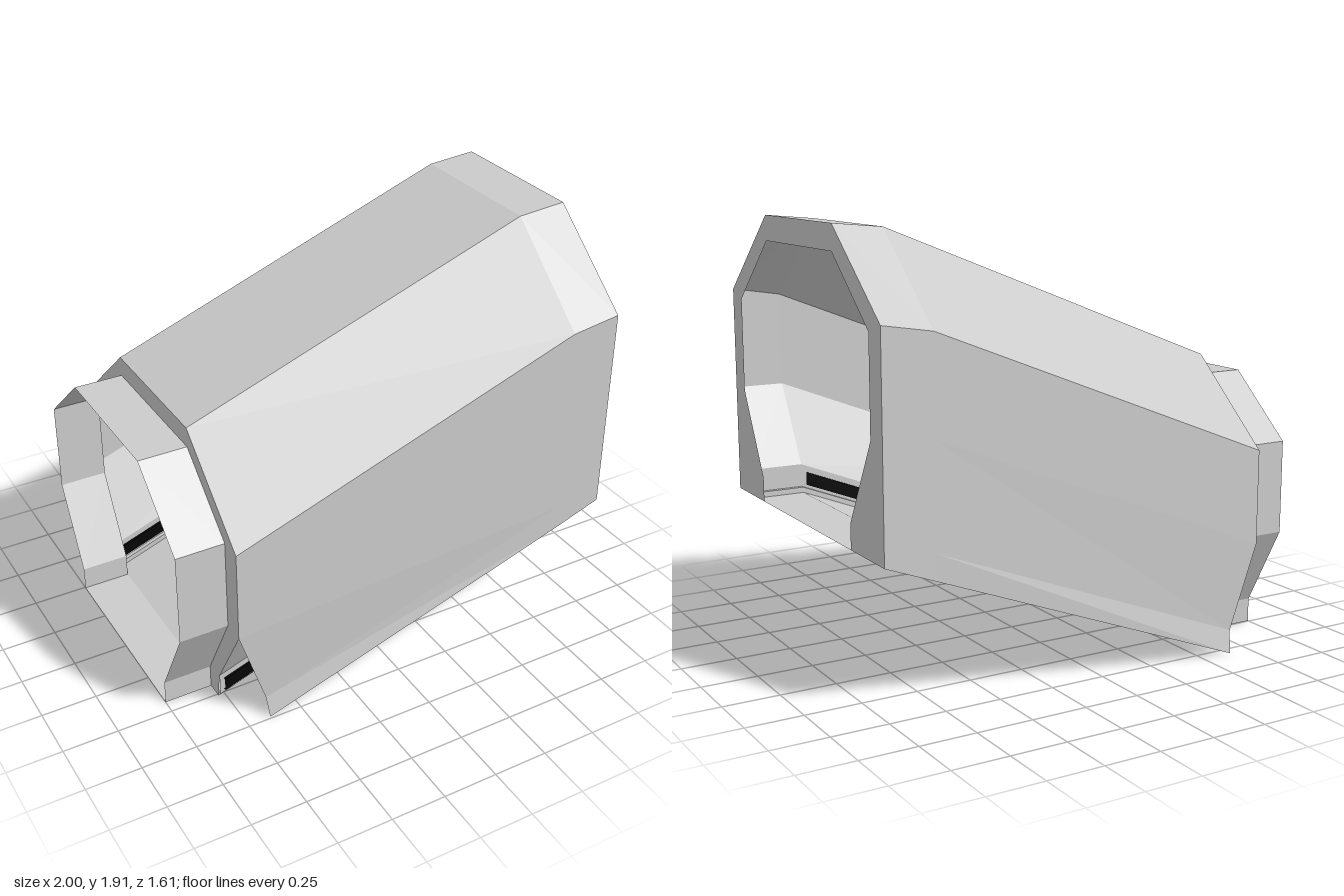
import * as THREE from 'three';

const grey = new THREE.MeshStandardMaterial({ color: 0xcccccc, flatShading: true, side: THREE.DoubleSide });
const black = new THREE.MeshStandardMaterial({ color: 0x050505, flatShading: true, side: THREE.DoubleSide });

// Stations along the passage: x, rise of the floor, sideways drift of the centre line
const low = { x: -0.78, rise: 0, mid: -0.03 };
const high = { x: 0.78, rise: 0.62, mid: 0.035 };
const end = { x: 1, rise: 0.62, mid: 0.04 };

// Half section [z, y, optional x], listed bottom to top, placed at a station
const place = (half, st, rise = st.rise) =>
  half.map(([z, y, x = st.x]) => new THREE.Vector3(x, y + rise, z + st.mid));

// Full section: up the +z side, down the -z side
const both = half => [...half, ...half.slice().reverse().map(([z, ...r]) => [-z, ...r])];

// Skin stretched over matching cross-sections
function loft(name, sections, material = grey, closed = false) {
  const pts = [];
  for (let i = 0; i + 1 < sections.length; i++) {
    const s = sections[i], t = sections[i + 1], n = s.length;
    for (let j = 0; j < (closed ? n : n - 1); j++) {
      const k = (j + 1) % n;
      pts.push(s[j], t[j], s[k], t[j], t[k], s[k]);
    }
  }
  const geometry = new THREE.BufferGeometry().setFromPoints(pts);
  geometry.computeVertexNormals();
  const mesh = new THREE.Mesh(geometry, material);
  mesh.name = name;
  return mesh;
}

export function createModel() {
  const group = new THREE.Group();
  group.name = 'slopedPassage';

  // Doorway section shared by the collar and both end frames
  const door = both([[0.465, 0], [0.465, 0.11], [0.665, 0.48], [0.665, 0.9], [0.34, 1.18]]);

  // Outer shell with hanging skirts, levelling off at the high end
  const shellLow = both([[0.77, 0, -0.645], [0.752, 0.1, -0.655], [0.765, 0.48], [0.765, 0.9], [0.34, 1.27]]);
  const shellHigh = both([[0.77, 0.537], [0.77, 0.65], [0.77, 1.1], [0.77, 1.52], [0.345, 1.89]]);
  const shellEnd = both([[0.77, 0.62], [0.77, 0.73], [0.77, 1.1], [0.77, 1.555], [0.345, 1.91]]);
  const shellEndRing = place(shellEnd, end, 0);
  group.add(loft('outerShell', [place(shellLow, low), place(shellHigh, high, 0), shellEndRing]));

  // Collar at the low end
  group.add(loft('collar', [place(door, { ...low, x: -1 }), place(door, low)], grey, true));

  // Flat frames joining the doorway section to the shell
  const lowRim = both([[0.54, 0], [0.56, 0.13], [0.765, 0.48], [0.765, 0.9], [0.34, 1.27]]);
  group.add(loft('lowFrame', [place(door, low), place(lowRim, low)]));
  group.add(loft('highFrame', [shellEndRing, place(door, end)]));

  // Ramp floor with a level landing
  const stations = [low, high, end];
  const floor = [[-0.54, 0], [0.54, 0]];
  group.add(loft('floor', stations.map(st => place(floor, st))));

  // Sloping lower walls and recessed side strips
  const wall = [[0.54, 0], [0.54, 0.025], [0.56, 0.025], [0.56, 0.13], [0.765, 0.48]];
  const strip = [[0.55, 0.04], [0.57, 0.04], [0.57, 0.1], [0.55, 0.1]];
  const stripEnds = [
    { x: -0.76, rise: 0.008, mid: -0.029 },
    { x: 0.76, rise: 0.612, mid: 0.034 },
  ];
  for (const [side, sign] of [['left', 1], ['right', -1]]) {
    const mirror = half => {
      const h = half.map(([z, y]) => [sign * z, y]);
      return sign > 0 ? h : h.reverse();
    };
    group.add(loft(side + 'LowerWall', stations.map(st => place(mirror(wall), st))));
    group.add(loft(side + 'Strip', stripEnds.map(st => place(mirror(strip), st)), black, true));
  }
  return group;
}
